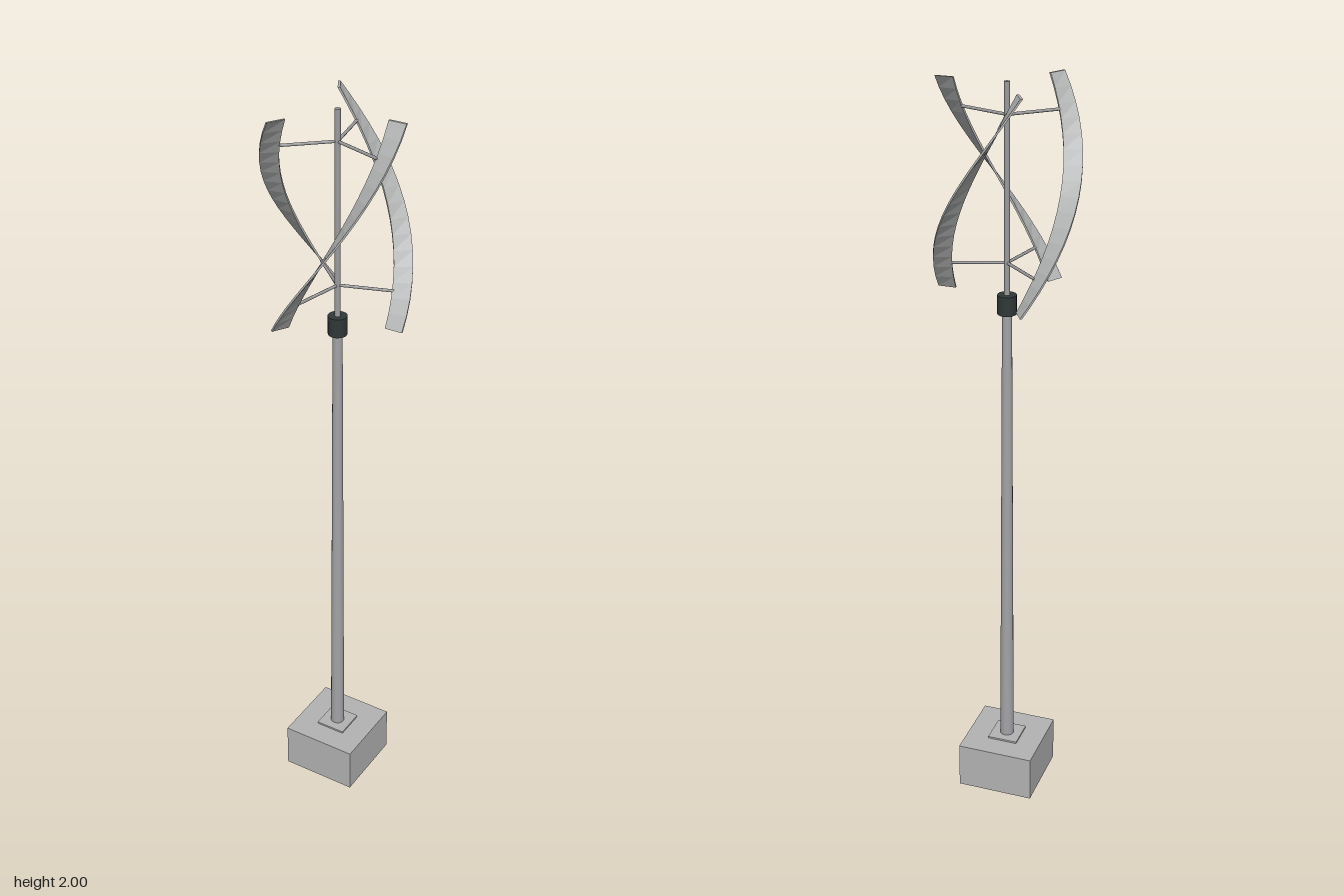
import * as THREE from 'three';

const TURN = (Math.PI * 2) / 3;       // each blade twists a third of a turn
const Y0 = 1.466, Y1 = 2;             // rotor bottom and top
const R_IN = 0.137, R_OUT = 0.184;    // blade chord, laid radially

const angleAt = (y, k) => k * TURN + TURN * (Y1 - y) / (Y1 - Y0);

// Helical blade: a thin box wound around the shaft
function bladeGeometry(k) {
  const box = new THREE.BoxGeometry(R_OUT - R_IN, Y1 - Y0, 0.006, 1, 16, 1);
  const p = box.attributes.position;
  for (let i = 0; i < p.count; i++) {
    const r = (R_IN + R_OUT) / 2 + p.getX(i);
    const y = (Y0 + Y1) / 2 + p.getY(i);
    const t = p.getZ(i);
    const a = angleAt(y, k);
    p.setXYZ(i, r * Math.cos(a) - t * Math.sin(a), y, r * Math.sin(a) + t * Math.cos(a));
  }
  const g = box.toNonIndexed();
  g.computeVertexNormals();
  return g;
}

export function createModel() {
  const model = new THREE.Group();
  model.name = 'verticalWindTurbine';

  const material = (name, color) => {
    const m = new THREE.MeshStandardMaterial({ color });
    m.name = name;
    return m;
  };
  const concrete = material('concrete', 0xb3b3b4);
  const steel = material('poleSteel', 0xa4a4a8);
  const rotorSteel = material('rotorSteel', 0x9c9c9f);
  const hubBlack = material('hubBlack', 0x303838);
  const bladeGrey = material('bladeGrey', 0xb2b3b3);

  const add = (name, geometry, mat, parent = model) => {
    const mesh = new THREE.Mesh(geometry, mat);
    mesh.name = name;
    parent.add(mesh);
    return mesh;
  };
  const column = (name, rTop, rBottom, y0, y1, mat, parent = model) => {
    const mesh = add(name, new THREE.CylinderGeometry(rTop, rBottom, y1 - y0, 16), mat, parent);
    mesh.position.y = (y0 + y1) / 2;
  };

  // Foundation and mounting plate
  add('foundation', new THREE.BoxGeometry(0.212, 0.13, 0.212), concrete).position.y = 0.065;
  add('basePlate', new THREE.BoxGeometry(0.084, 0.005, 0.084), concrete).position.y = 0.1325;

  // Tapered pole and generator hub
  column('pole', 0.0128, 0.0192, 0.133, 1.415, steel);
  column('generatorHub', 0.025, 0.025, 1.412, 1.463, hubBlack);

  // Rotor: shaft, twisted blades and their struts
  const rotor = new THREE.Group();
  rotor.name = 'rotor';
  model.add(rotor);
  column('shaft', 0.0075, 0.0075, 1.46, Y1, rotorSteel, rotor);
  for (let k = 0; k < 3; k++) {
    add('blade', bladeGeometry(k), bladeGrey, rotor);
    for (const y of [1.547, 1.92]) {
      const length = 0.141;
      const g = new THREE.CylinderGeometry(0.004, 0.004, length, 8);
      g.rotateZ(-Math.PI / 2).translate(length / 2, 0, 0);
      const strut = add('strut', g, rotorSteel, rotor);
      strut.position.y = y;
      strut.rotation.y = -angleAt(y, k);
    }
  }
  return model;
}
